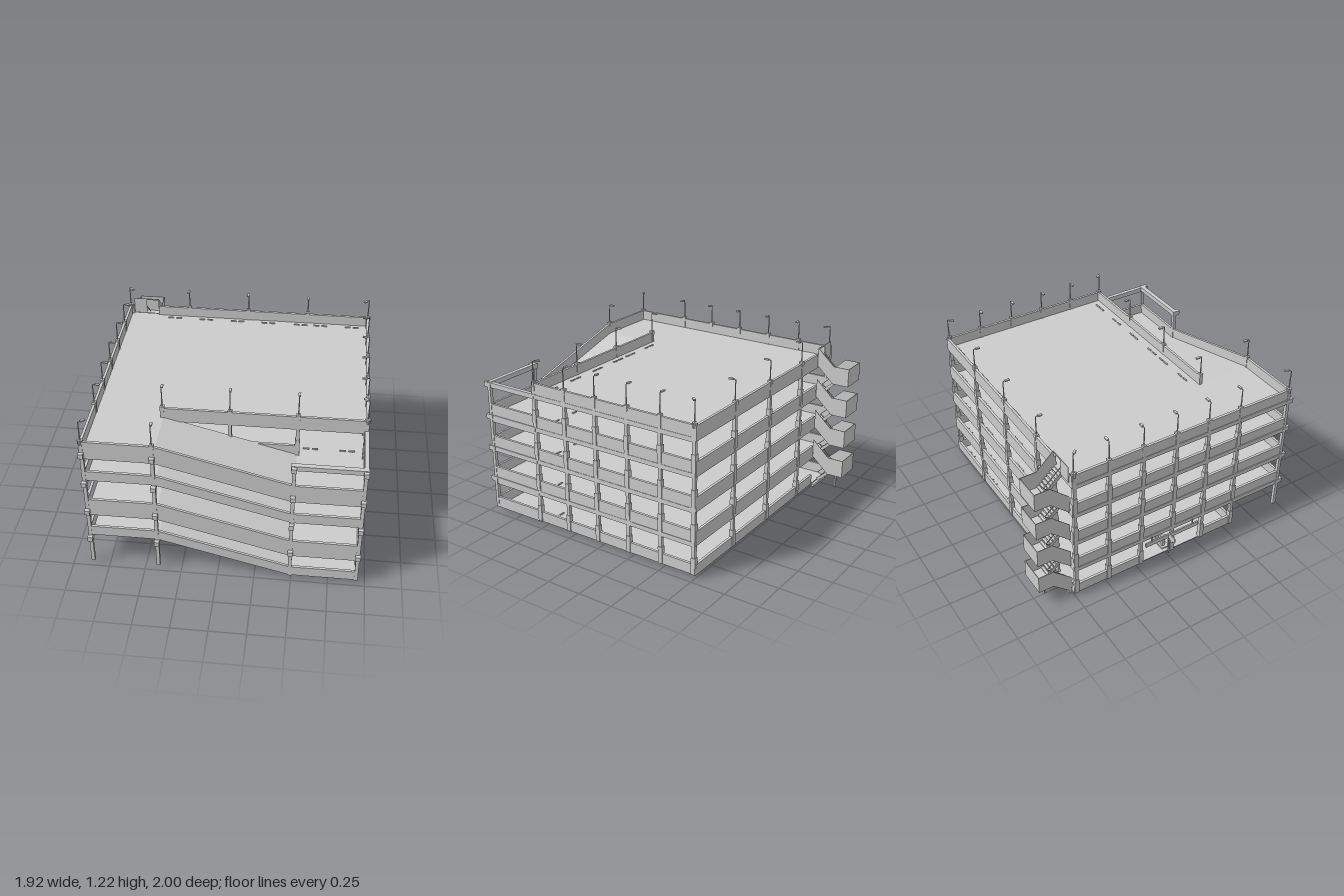
import * as THREE from 'three';

const grey = new THREE.MeshStandardMaterial({ color: 0xcccccc, side: THREE.DoubleSide });
const floorY = k => 0.025 + 0.24 * k;
const L = -0.865, R = 0.94, BACK = -0.745, MID = 0.55, FRONT = 0.962;
const RAMP_TOP = -0.405, RAMP_END = 0.49;
const colX = [L, -0.41, 0.04, 0.49, R];
const colZ = [-0.735, -0.48, -0.222, 0.035, 0.29, MID];

export function createModel() {
  const root = new THREE.Group();
  const group = name => {
    const g = new THREE.Group();
    g.name = name;
    root.add(g);
    return g;
  };
  const add = (parent, name, geometry) => {
    const m = new THREE.Mesh(geometry, grey);
    m.name = name;
    parent.add(m);
    return m;
  };
  // box from its limits on each axis
  const box = (parent, name, x0, x1, y0, y1, z0, z1) => {
    const m = add(parent, name, new THREE.BoxGeometry(x1 - x0, y1 - y0, z1 - z0));
    m.position.set((x0 + x1) / 2, (y0 + y1) / 2, (z0 + z1) / 2);
    return m;
  };
  // band that follows a path of [x, y] between two offsets, extruded along z
  const band = (parent, name, path, lo, hi, z0, z1) => {
    const pts = [...path.map(([x, y]) => new THREE.Vector2(x, y + hi)),
      ...path.map(([x, y]) => new THREE.Vector2(x, y + lo)).reverse()];
    const g = new THREE.ExtrudeGeometry(new THREE.Shape(pts), { depth: z1 - z0, bevelEnabled: false });
    const m = add(parent, name, g);
    m.position.z = z0;
    return m;
  };
  // same, but the path is [z, y] and the band is extruded along x
  const sideBand = (parent, name, path, lo, hi, x0, x1) => {
    const m = band(parent, name, path.map(([z, y]) => [-z, y]), lo, hi, 0, x1 - x0);
    m.rotation.y = Math.PI / 2;
    m.position.x = x0;
    return m;
  };

  // main decks with their edge walls
  const decks = group('decks');
  const w = 0.009;
  for (let k = 0; k <= 4; k++) {
    const f = floorY(k), lo = k ? f - 0.03 : f - 0.002, hi = f + 0.073;
    box(decks, 'deck', L, R, f - 0.008, f, BACK, MID);
    box(decks, 'backWall', -0.65, R + w, lo, hi, BACK - w, BACK + w);
    box(decks, 'backWallEnd', L - w, -0.84, lo, hi, BACK - w, BACK + w);
    box(decks, 'stairThreshold', -0.84, -0.65, lo, f, BACK - w, BACK + w);
    box(decks, 'rightWall', R - w, R + w, lo, hi, BACK, MID);
    box(decks, 'innerWall', RAMP_TOP, k === 4 ? R : RAMP_END, lo, hi, MID - w, MID + w);
    if (k === 0) {
      // ground level: the left side opens for the entrance
      box(decks, 'leftWall', L - w, L + w, lo, hi, BACK, -0.222);
      box(decks, 'leftWall', L - w, L + w, lo, hi, 0.29, MID);
      box(decks, 'innerWall', L - w, RAMP_TOP, lo, hi, MID - w, MID + w);
    } else {
      box(decks, 'leftWall', L - w, L + w, lo, hi, BACK, FRONT);
      for (const x of colX) box(decks, 'crossBeam', x - 0.012, x + 0.012, f - 0.04, f - 0.008, BACK, MID);
    }
  }

  // front bay: upper landing, ramp and lower landing in one run per storey
  const ramps = group('ramps');
  for (let k = 1; k <= 4; k++) {
    const f = floorY(k), g = floorY(k - 1), low = k % 2 ? 0 : -0.06;
    const path = [[L - w, f], [RAMP_TOP, f], [RAMP_END, g], [R + w, g]];
    band(ramps, 'rampFloor', path, -0.008, 0, MID, FRONT);
    band(ramps, 'rampFrontWall', path, low, 0.075, FRONT - w, FRONT + w);
    box(ramps, 'rampEndWall', R - w, R + w, g + low, g + 0.075, MID, FRONT);
  }

  // columns, wheel guards and beam ends
  const columns = group('columns');
  const spots = [];
  for (const z of colZ) spots.push([L, z, 1.07], [R, z, 1.07]);
  for (const x of colX.slice(1, 4)) spots.push([x, BACK, 1.07], [x, MID, 1.07]);
  spots.push([L, FRONT, 1.07], [-0.41, FRONT, 1.07], [RAMP_END, FRONT, 0.985], [R, FRONT, 0.985]);
  const c = 0.012;
  for (const [x, z, top] of spots) {
    box(columns, 'column', x - c, x + c, 0.022, top, z - c, z + c);
    if (z < FRONT) for (let k = 0; k < 4; k++) {
      const f = floorY(k);
      box(columns, 'columnGuard', x - 0.016, x + 0.016, f, f + 0.12, z - 0.016, z + 0.016);
    }
  }
  for (let k = 1; k <= 4; k++) for (const x of [L, -0.41, RAMP_END, R]) {
    const f = floorY(k);
    box(columns, 'beamEnd', x - 0.017, x + 0.017, f - 0.04, f - 0.005, FRONT - 0.02, 1);
    if (x === L || x === R) box(columns, 'sideBeam', x - 0.015, x + 0.015, f - 0.04, f - 0.005, MID, FRONT);
  }
  box(columns, 'openFrameBeam', 0.47, R + 0.012, 0.95, 0.985, 0.942, 0.975);

  // deck lamps, arms pointing inward
  const lamps = group('lamps');
  for (const [x, z, top] of spots) {
    if (top < 1) continue;
    const lamp = new THREE.Group();
    lamp.name = 'lamp';
    lamps.add(lamp);
    lamp.position.set(x, 0, z);
    box(lamp, 'lampFoot', -0.014, 0.014, 1.04, 1.072, -0.014, 0.014);
    const pole = add(lamp, 'lampPole', new THREE.CylinderGeometry(0.003, 0.005, 0.14, 8));
    pole.position.y = 1.14;
    const curve = new THREE.QuadraticBezierCurve3(new THREE.Vector3(0, 1.2, 0),
      new THREE.Vector3(0.002, 1.214, 0), new THREE.Vector3(0.02, 1.213, 0));
    add(lamp, 'lampArm', new THREE.TubeGeometry(curve, 5, 0.003, 6));
    box(lamp, 'lampHead', 0.015, 0.048, 1.205, 1.215, -0.008, 0.008);
    const dx = x === L ? 1 : x === R ? -1 : 0;
    const atBack = z < -0.7, atFront = z === MID ? x !== L : z === FRONT;
    const dz = atBack ? 1 : atFront ? -1 : 0;
    lamp.rotation.y = Math.atan2(-dz, dx);
  }

  // wheel stops on every deck
  const stops = group('wheelStops');
  const rows = [[-0.7, [-0.52, -0.28, -0.04, 0.195, 0.44, 0.59, 0.825]],
    [0.49, [-0.285, -0.05, 0.1, 0.34, 0.58, 0.825]]];
  for (let k = 0; k <= 4; k++) for (const [z, xs] of rows) for (const x of xs) for (const s of [-0.03, 0.03])
    box(stops, 'wheelStop', x + s - 0.021, x + s + 0.021, floorY(k), floorY(k) + 0.007, z - 0.005, z + 0.005);

  // outside stair: two flights per storey with a half landing
  const stair = group('stairTower');
  const x0 = -0.84, xm = -0.745, x1 = -0.65, zIn = -0.755, zOut = -0.885, t = 0.005;
  const steps = 7;
  for (let k = 1; k <= 4; k++) {
    const f = floorY(k), g = floorY(k - 1), mid = f - 0.12;
    const upper = [[zIn, f], [zOut, mid]], lower = [[zIn, g], [zOut, mid]];
    box(stair, 'landing', x0, x1, mid - 0.008, mid, -1, zOut);
    box(stair, 'landingBackWall', x0, x1, mid - 0.008, mid + 0.125, -1, -1 + t);
    for (const x of [x0, x1 - t]) box(stair, 'landingSideWall', x, x + t, mid - 0.008, mid + 0.125, -1, zOut);
    sideBand(stair, 'upperFlightWall', upper, -0.012, 0.122, x1 - t, x1);
    sideBand(stair, 'lowerFlightWall', lower, -0.012, 0.122, x0, x0 + t);
    for (const [path, a, b] of [[upper, xm, x1], [lower, x0, xm]]) {
      sideBand(stair, 'stringer', path, -0.02, 0.01, xm - t / 2, xm + t / 2);
      sideBand(stair, 'handrail', path, 0.055, 0.062, xm - t / 2, xm + t / 2);
      for (let i = 0; i < steps; i++) {
        const u = (i + 0.5) / steps;
        const z = zIn + (zOut - zIn) * u, y = path[0][1] + (path[1][1] - path[0][1]) * u;
        box(stair, 'step', a, b, y - 0.008, y, z - 0.0095, z + 0.0095);
      }
    }
  }
  box(stair, 'topGuard', x0, xm, floorY(4), 1.108, zIn - t, zIn);
  box(stair, 'topRail', xm, x1, 1.098, 1.108, zIn - t, zIn);
  box(stair, 'stairPost', xm - 0.006, xm + 0.006, 0, 0.14, -0.915, -0.903);
  box(stair, 'stairFooting', x0, x1, 0, 0.02, -0.775, zIn);

  // entrance: hanging clearance bar, gates and a sign on a post
  const entrance = group('entrance');
  box(entrance, 'clearanceBar', L - 0.02, L - 0.01, 0.165, 0.2, -0.19, 0.25);
  for (const z of [-0.14, 0.2]) box(entrance, 'barHanger', L - 0.018, L - 0.012, 0.2, 0.24, z - 0.004, z + 0.004);
  box(entrance, 'signPost', -0.893, -0.887, 0.022, 0.2, -0.005, 0.005);
  box(entrance, 'signPlate', -0.957, -0.888, 0.17, 0.207, -0.004, 0.004);
  box(entrance, 'signPlateLower', -0.935, -0.9, 0.157, 0.17, -0.003, 0.003);
  box(entrance, 'island', -0.84, -0.7, 0.025, 0.035, -0.02, 0.04);
  for (const [x, s] of [[-0.81, 1], [-0.73, -1]]) {
    box(entrance, 'gateCabinet', x - 0.012, x + 0.012, 0.03, 0.125, -0.01, 0.015);
    const z = s > 0 ? 0.015 : -0.12;
    box(entrance, 'gateArm', x - 0.003, x + 0.003, 0.108, 0.115, z, z + 0.11);
  }
  return root;
}
